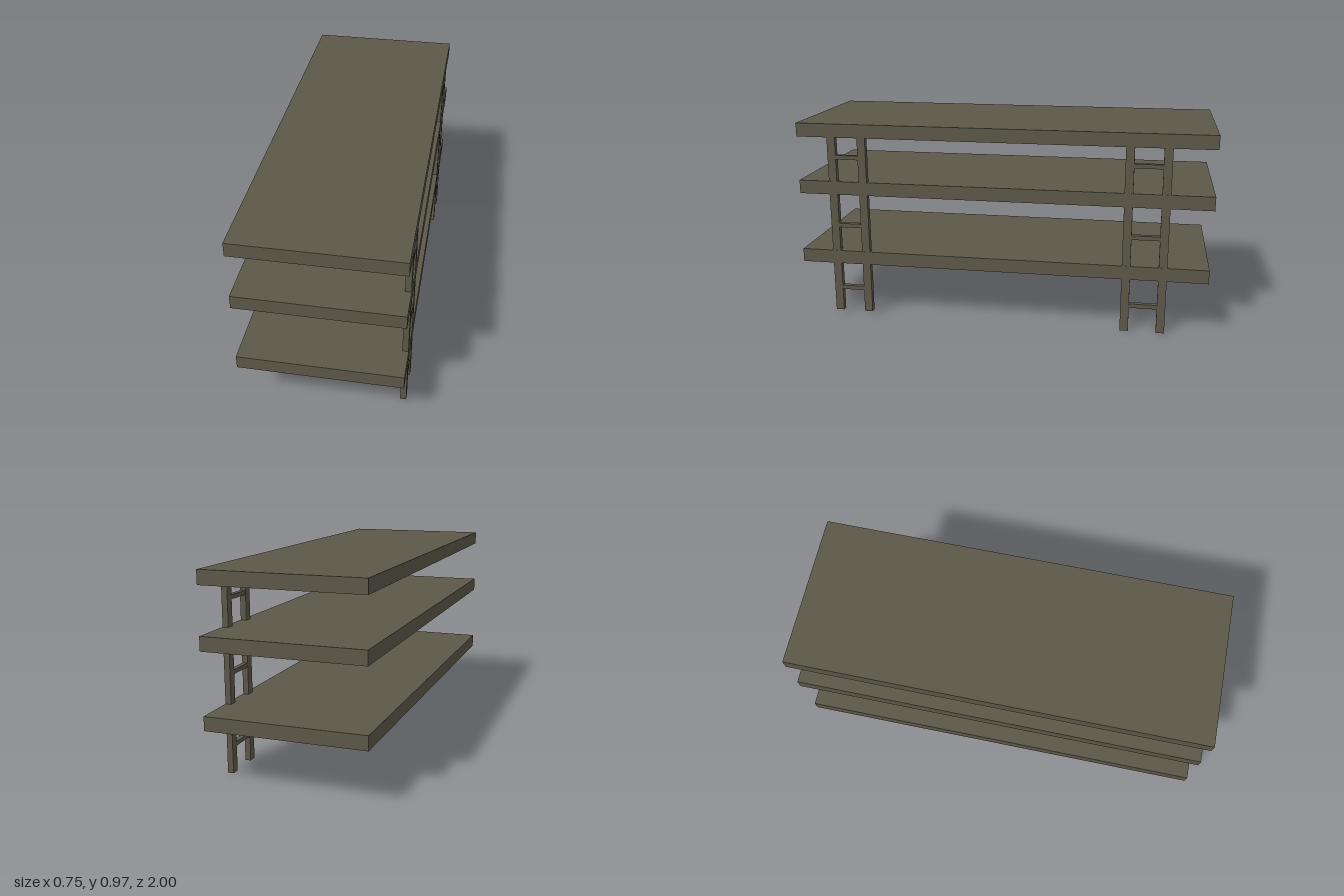
import * as THREE from 'three';

export function createModel() {
  const model = new THREE.Group();
  model.name = 'tripleShelf';
  const paint = new THREE.MeshStandardMaterial({ color: 0x5c5849 });
  paint.name = 'olive grey';

  // Box given by its min and max on each axis
  function addBox(parent, name, [x0, x1], [y0, y1], [z0, z1]) {
    const mesh = new THREE.Mesh(new THREE.BoxGeometry(x1 - x0, y1 - y0, z1 - z0), paint);
    mesh.position.set((x0 + x1) / 2, (y0 + y1) / 2, (z0 + z1) / 2);
    mesh.name = name;
    parent.add(mesh);
  }

  // Three long slabs, the lowest sitting slightly further forward
  const slabs = [
    ['lowerShelf', 0.263, -0.993, 1],
    ['middleShelf', 0.617, -1, 0.995],
    ['upperShelf', 0.9, -1, 0.995],
  ];
  for (const [name, y, z0, z1] of slabs) {
    addBox(model, name, [-0.375, 0.375], [y, y + 0.066], [z0, z1]);
  }

  // Two ladders along the left edge: a pair of posts joined by three rungs
  const ladders = [
    { name: 'frontLadder', bottom: 0.013, z: [0.672, 0.823], rungs: [0.134, 0.46, 0.802] },
    { name: 'rearLadder', bottom: 0, z: [-0.78, -0.608], rungs: [0.129, 0.47, 0.812] },
  ];
  for (const { name, bottom, z, rungs } of ladders) {
    const ladder = new THREE.Group();
    ladder.name = name;
    for (const c of z) {
      addBox(ladder, 'post', [0.346, 0.374], [bottom, 0.905], [c - 0.02, c + 0.02]);
    }
    for (const y of rungs) {
      addBox(ladder, 'rung', [0.348, 0.372], [y - 0.01, y + 0.01], z);
    }
    model.add(ladder);
  }
  return model;
}
